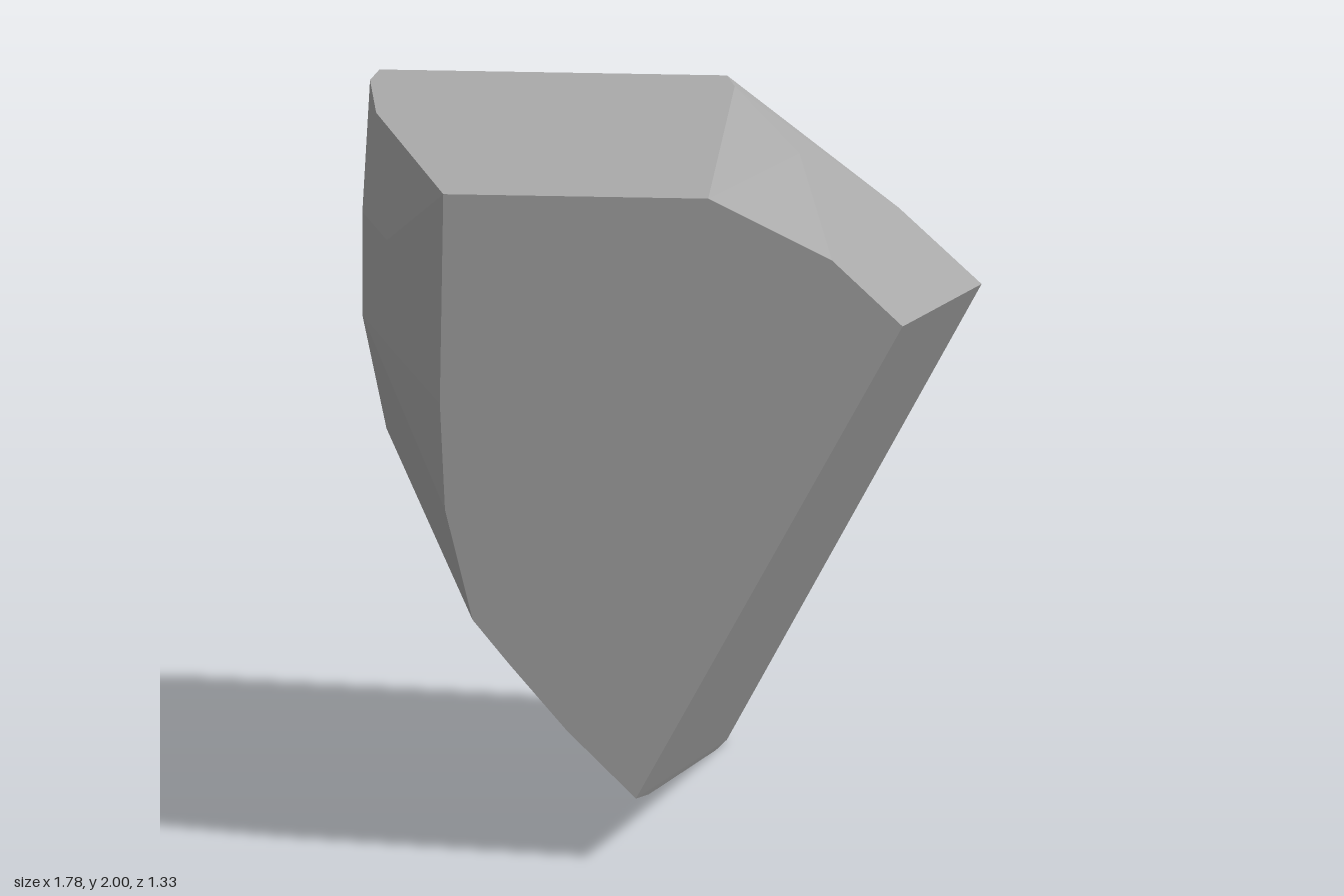
import * as THREE from 'three';
import { ConvexGeometry } from 'three/addons/geometries/ConvexGeometry.js';

// Cross-sections of the chunk from back to front: [z, [x, y], ...]
const SECTIONS = [
  // flat back face
  [-0.665, [-0.86, 2], [0.15, 2], [0.65, 1.61], [0.89, 1.385], [0.15, 0],
    [-0.44, 0.47], [-0.8, 1.05], [-0.873, 1.37], [-0.873, 1.7]],
  // rounded left flank and bevelled upper right edge
  [-0.55, [-0.88, 2], [0.18, 2], [-0.895, 1.7], [-0.895, 1.39], [-0.82, 1.05],
    [-0.415, 0.395], [0.125, 0]],
  [-0.2, [-0.84, 2], [0.39, 1.9], [-0.88, 1.7], [-0.88, 1.39], [-0.81, 1.05], [-0.43, 0.41]],
  [0.1, [-0.79, 1.7], [-0.79, 1.39]],
  [0.42, [-0.008, 0.135]],
  // flat front face
  [0.665, [-0.59, 2], [0.18, 2], [0.54, 1.82], [0.745, 1.625], [-0.03, 0.19],
    [-0.23, 0.39], [-0.4, 0.59], [-0.505, 0.72], [-0.585, 1.05], [-0.6, 1.37]],
];

export function createModel() {
  const stone = new THREE.MeshStandardMaterial({ color: 0xaaaaaa });
  stone.name = 'stone grey';

  // The rock is the convex hull around all sections, with flat facets
  const points = SECTIONS.flatMap(([z, ...outline]) =>
    outline.map(([x, y]) => new THREE.Vector3(x, y, z)));
  const rock = new THREE.Mesh(new ConvexGeometry(points), stone);
  rock.name = 'rockChunk';

  const model = new THREE.Group();
  model.name = 'rock';
  model.add(rock);
  return model;
}
